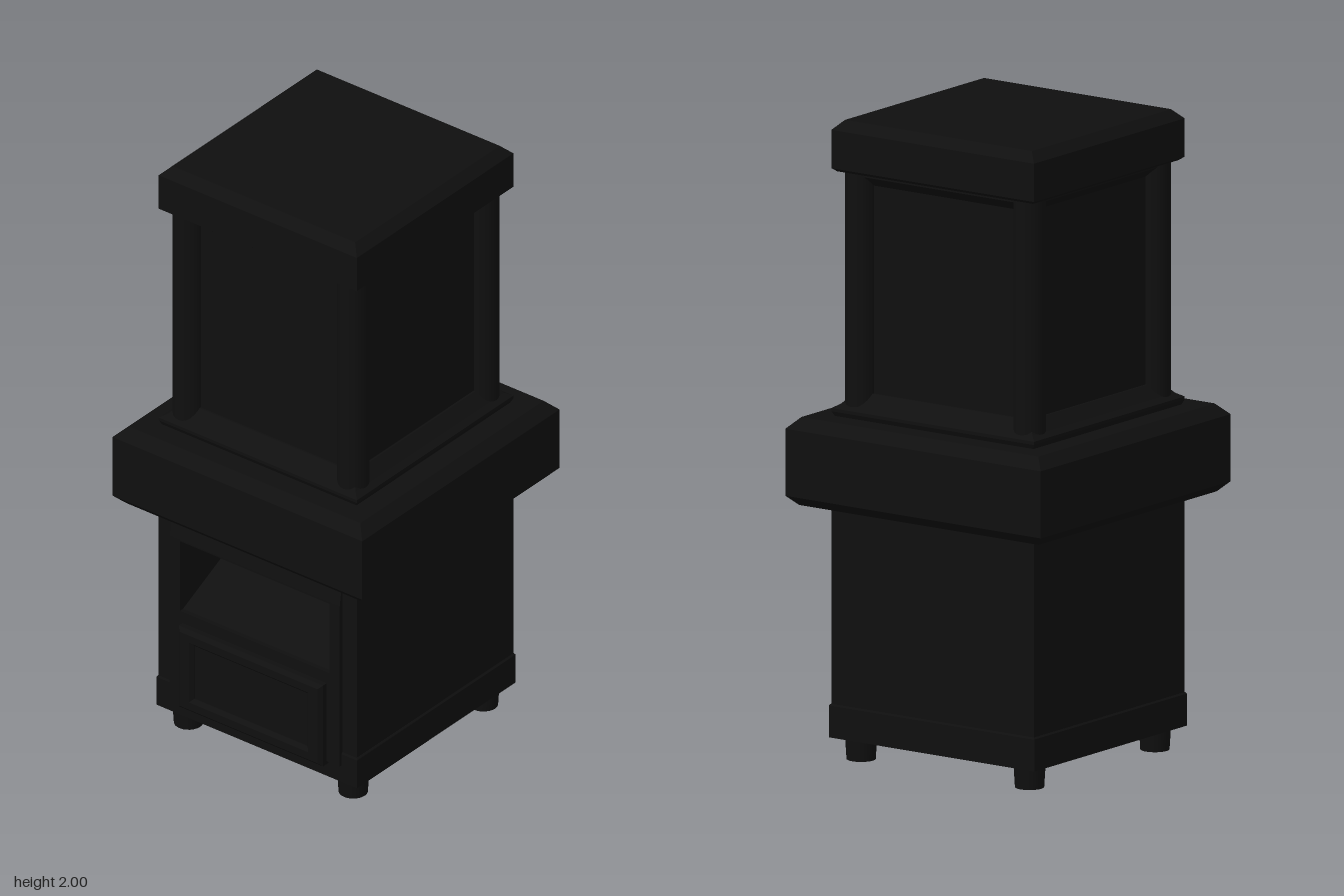
import * as THREE from 'three';

const mat = new THREE.MeshStandardMaterial({ color: 0x0f0f0f, flatShading: true });
const smooth = new THREE.MeshStandardMaterial({ color: 0x0f0f0f });

function add(group, name, geometry, material = mat) {
  const mesh = new THREE.Mesh(geometry, material);
  mesh.name = name;
  group.add(mesh);
  return mesh;
}

// Square solid whose half width follows a [half, y] profile
function squareStack(profile) {
  const pts = profile.map(([h, y]) => new THREE.Vector2(h * Math.SQRT2, y));
  return new THREE.LatheGeometry(pts, 4, Math.PI / 4).toNonIndexed();
}

function rect(Type, halfW, y0, y1) {
  const r = new Type();
  r.moveTo(-halfW, y0);
  r.lineTo(halfW, y0);
  r.lineTo(halfW, y1);
  r.lineTo(-halfW, y1);
  r.closePath();
  return r;
}

// Slab in the z-y plane running from x = start towards -x, with an optional opening
function sideSlab(outer, hole, start, depth, bevel = 0) {
  const shape = rect(THREE.Shape, ...outer);
  if (hole) shape.holes.push(rect(THREE.Path, ...hole));
  const geo = new THREE.ExtrudeGeometry(shape, {
    depth, bevelEnabled: bevel > 0, bevelSize: bevel, bevelThickness: bevel,
    bevelOffset: -bevel, bevelSegments: 1,
  });
  return geo.rotateY(-Math.PI / 2).translate(start, 0, 0);
}

// Prism running along z from an x-y profile
function prism(points, width) {
  const shape = new THREE.Shape(points.map(([x, y]) => new THREE.Vector2(x, y)));
  return new THREE.ExtrudeGeometry(shape, { depth: width, bevelEnabled: false })
    .translate(0, 0, -width / 2);
}

export function createModel() {
  const model = new THREE.Group();
  model.name = 'cabinet';
  const opening = [0.29, 0.45, 0.7];

  // Lower cabinet: solid block plus a wall with a recess
  const lower = new THREE.Group();
  lower.name = 'lowerCabinet';
  model.add(lower);
  add(lower, 'block', new THREE.BoxGeometry(0.585, 0.75, 0.77).translate(0.0925, 0.445, 0));
  add(lower, 'recessedWall', sideSlab([0.385, 0.07, 0.82], opening, -0.2, 0.185));
  add(lower, 'plinth', squareStack([[0, 0.07], [0.39, 0.07], [0.39, 0.17], [0.386, 0.175], [0, 0.175]]));

  // Raised surround, sloped lintel, tray and drawer
  add(lower, 'surround', sideSlab([0.33, 0.13, 0.705], opening, -0.385, 0.015));
  add(lower, 'lintel', prism([[-0.38, 0.7], [-0.38, 0.8], [-0.385, 0.8], [-0.4, 0.7]], 0.66));
  add(lower, 'tray', prism([[-0.385, 0.45], [-0.2, 0.45], [-0.2, 0.54]], 0.58));
  add(lower, 'drawerFrame', sideSlab([0.28, 0.12, 0.41], [0.22, 0.17, 0.36], -0.385, 0.033, 0.012));
  add(lower, 'drawerPanel', sideSlab([0.23, 0.16, 0.37], null, -0.39, 0.026));

  // Chamfered belt and sill
  add(model, 'belt', squareStack([
    [0, 0.8], [0.455, 0.8], [0.485, 0.83], [0.485, 1.04], [0.45, 1.075], [0, 1.075],
  ]));
  add(model, 'sill', squareStack([
    [0, 1.07], [0.375, 1.07], [0.385, 1.09], [0.385, 1.1], [0.365, 1.112], [0.328, 1.15], [0, 1.15],
  ]));

  // Upper cabinet with round corner posts
  add(model, 'upperCabinet', squareStack([[0, 1.1], [0.322, 1.1], [0.322, 1.85], [0, 1.85]]));
  add(model, 'topMoulding', squareStack([[0, 1.8], [0.322, 1.8], [0.355, 1.83], [0.355, 1.85], [0, 1.85]]));
  for (const x of [-0.32, 0.32]) {
    for (const z of [-0.32, 0.32]) {
      add(model, 'cornerPost', new THREE.CylinderGeometry(0.05, 0.05, 0.77, 24), smooth)
        .position.set(x, 1.465, z);
      add(model, 'foot', new THREE.CylinderGeometry(0.05, 0.045, 0.08, 24), smooth)
        .position.set(x, 0.04, z);
    }
  }

  // Chamfered cap
  add(model, 'cap', squareStack([
    [0, 1.84], [0.372, 1.84], [0.385, 1.85], [0.385, 1.97], [0.355, 2], [0, 2],
  ]));
  return model;
}
